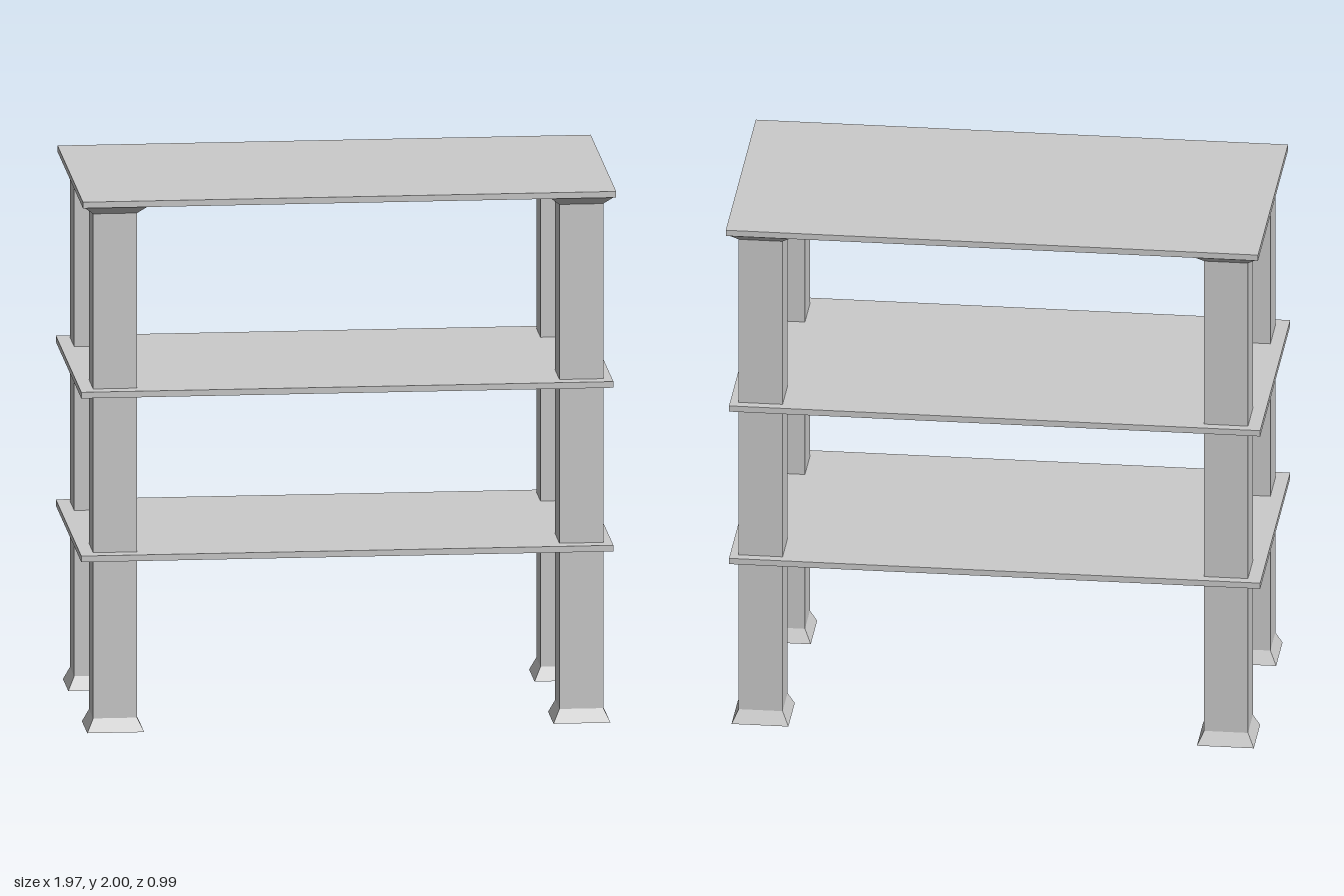
import * as THREE from 'three';

export function createModel() {
  const group = new THREE.Group();
  const material = new THREE.MeshStandardMaterial({ color: 0xcccccc, flatShading: true });

  // Thin boards: the two shelves sit slightly off from the top
  const addBoard = (name, x, y, z, width, depth) => {
    const board = new THREE.Mesh(new THREE.BoxGeometry(width, 0.023, depth), material);
    board.name = name;
    board.position.set(x, y, z);
    group.add(board);
  };
  addBoard('topBoard', 0.002, 1.988, -0.002, 1.966, 0.984);
  addBoard('upperShelf', -0.007, 1.276, 0.007, 1.962, 0.984);
  addBoard('lowerShelf', -0.007, 0.661, 0.007, 1.962, 0.984);

  // Square leg with flared foot and capital: [half width, height]
  const profile = [
    [0, 0], [0.105, 0], [0.081, 0.05], [0.081, 1.945], [0.119, 1.978], [0, 1.978],
  ].map(([half, y]) => new THREE.Vector2(half * Math.SQRT2, y));
  const legGeometry = new THREE.LatheGeometry(profile, 4, Math.PI / 4);

  for (const [side, x] of [['Left', 0.861], ['Right', -0.858]]) {
    for (const [end, z] of [['front', 0.364], ['back', -0.369]]) {
      const leg = new THREE.Mesh(legGeometry, material);
      leg.name = `${end}${side}Leg`;
      leg.position.set(x, 0, z);
      group.add(leg);
    }
  }
  return group;
}
